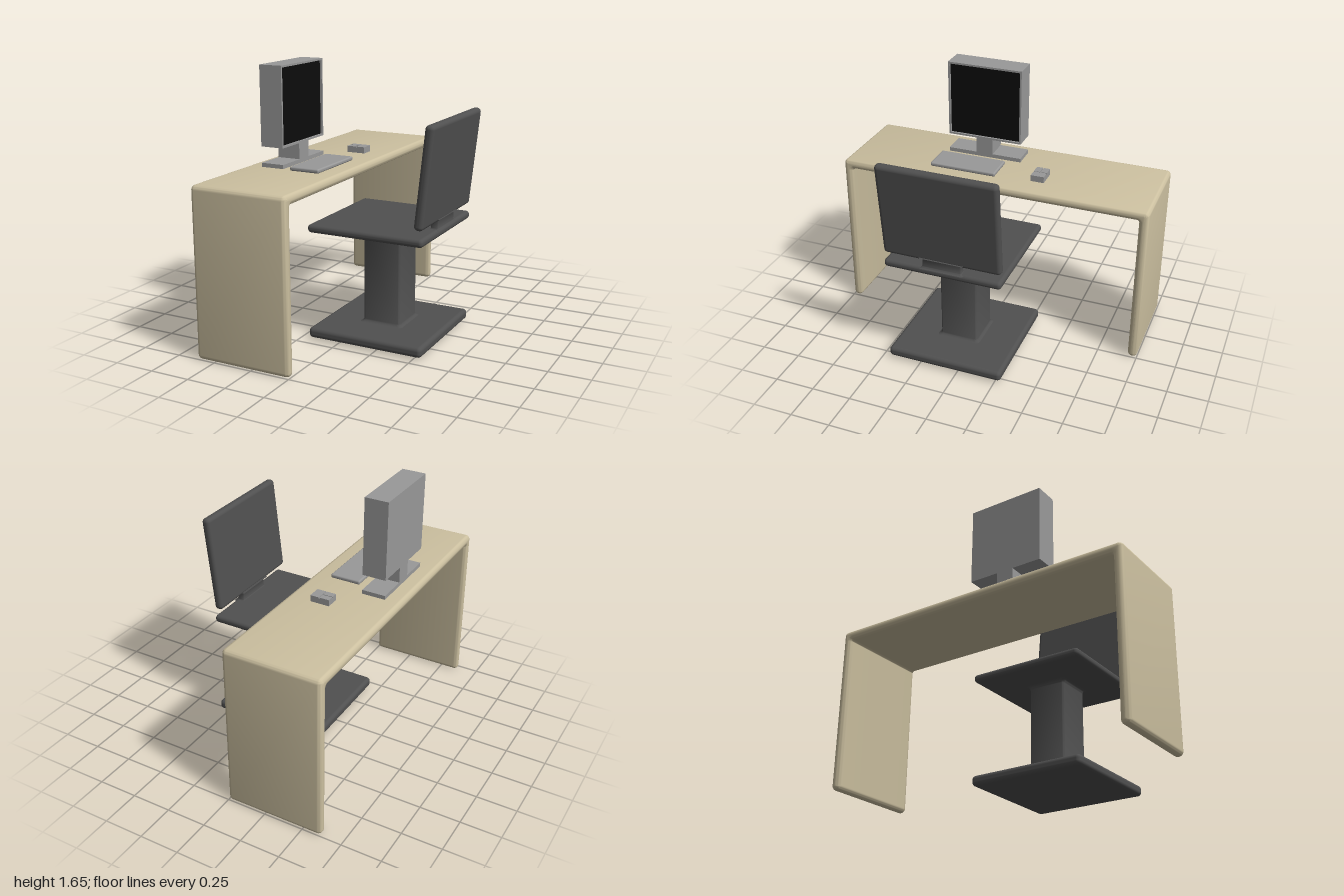
import * as THREE from 'three';
import { RoundedBoxGeometry } from 'three/addons/geometries/RoundedBoxGeometry.js';
import { toCreasedNormals } from 'three/addons/utils/BufferGeometryUtils.js';

const paint = (color) => new THREE.MeshStandardMaterial({ color });
const wood = paint(0xccc0a0);
const dark = paint(0x505050);
const grey = paint(0x999999);
const black = paint(0x0c0c0c);

function add(parent, name, geometry, material, x = 0, y = 0, z = 0) {
  const mesh = new THREE.Mesh(geometry, material);
  mesh.name = name;
  mesh.position.set(x, y, z);
  parent.add(mesh);
  return mesh;
}

function group(parent, name) {
  const g = new THREE.Group();
  g.name = name;
  parent.add(g);
  return g;
}

// Box given by its lower and upper corners, rounded if r > 0
function block(parent, name, material, [x0, y0, z0], [x1, y1, z1], r = 0) {
  const size = [x1 - x0, y1 - y0, z1 - z0];
  const geometry = r ? new RoundedBoxGeometry(...size, 4, r) : new THREE.BoxGeometry(...size);
  return add(parent, name, geometry, material, (x0 + x1) / 2, (y0 + y1) / 2, (z0 + z1) / 2);
}

// Closed outline whose corners [x, y, radius] are rounded
function roundedOutline(corners) {
  const shape = new THREE.Shape();
  const n = corners.length;
  corners.forEach(([x, y, r], i) => {
    const p = new THREE.Vector2(x, y);
    const toward = (c) => new THREE.Vector2(c[0], c[1]).sub(p).setLength(r).add(p);
    const a = toward(corners[(i + n - 1) % n]);
    const b = toward(corners[(i + 1) % n]);
    if (i === 0) shape.moveTo(a.x, a.y);
    else shape.lineTo(a.x, a.y);
    // cubic approximation of a quarter circle
    const k = 0.5523;
    const c1 = a.clone().lerp(p, k);
    const c2 = b.clone().lerp(p, k);
    shape.bezierCurveTo(c1.x, c1.y, c2.x, c2.y, b.x, b.y);
  });
  shape.closePath();
  return shape;
}

// Upright post with rounded corners that flares out in a cove at both ends
function flaredPost(w, d, h, flare) {
  const r = Math.min(w, d) * 0.2 > 0.02 ? 0.02 : Math.min(w, d) * 0.2;
  const a = w / 2, b = d / 2, n = 6;
  const shape = roundedOutline([[-a, -b, r], [a, -b, r], [a, b, r], [-a, b, r]]);
  const steps = 2 * n + 1;
  const g = new THREE.ExtrudeGeometry(shape, {
    depth: steps, steps, bevelEnabled: false, curveSegments: 5,
  });
  g.rotateX(-Math.PI / 2);
  const p = g.attributes.position;
  for (let i = 0; i < p.count; i++) {
    const level = Math.round(p.getY(i));
    const fromEnd = Math.min(level, steps - level);
    const angle = (fromEnd / n) * Math.PI / 2;
    const out = flare * (1 - Math.sin(angle));
    const rise = flare * (1 - Math.cos(angle));
    p.setXYZ(i, p.getX(i) * (1 + out / a), level <= n ? rise : h - rise, p.getZ(i) * (1 + out / b));
  }
  return toCreasedNormals(g, 0.7);
}

// One-piece desk: a U-shaped section swept across its depth, edges rounded
function buildDesk(parent) {
  const r = 0.029, t = 0.06, bevel = 0.026, depth = 0.62, h = 1.04;
  const section = roundedOutline([
    [-1, 0, r], [-1 + t, 0, r], [-1 + t, h - t, 0.012], [1 - t, h - t, 0.012],
    [1 - t, 0, r], [1, 0, r], [1, h, r], [-1, h, r],
  ]);
  const g = new THREE.ExtrudeGeometry(section, {
    depth: depth - 2 * bevel, bevelEnabled: true, bevelSize: bevel,
    bevelThickness: bevel, bevelOffset: -bevel, bevelSegments: 5, curveSegments: 7,
  });
  g.translate(0, 0, bevel);
  g.rotateY(-Math.PI / 2);
  add(parent, 'desk', toCreasedNormals(g, 0.7), wood);
}

function buildChair(parent) {
  const chair = group(parent, 'chair');
  const zMid = 0.082;
  block(chair, 'chairBase', dark, [-0.19, 0.015, -0.29], [0.555, 0.08, 0.455], 0.025);
  block(chair, 'seat', dark, [-0.19, 0.68, -0.29], [0.555, 0.73, 0.455], 0.022);
  add(chair, 'column', flaredPost(0.245, 0.245, 0.604, 0.028), dark, 0.182, 0.078, zMid);
  add(chair, 'backrestBracket', flaredPost(0.045, 0.245, 0.07, 0.018), dark, 0.523, 0.724, zMid);
  const back = add(chair, 'backrest', new RoundedBoxGeometry(0.057, 0.61, 0.745, 4, 0.025),
    dark, 0.556, 1.08, zMid);
  back.rotation.z = -0.11;
}

function buildMonitor(parent) {
  const monitor = group(parent, 'monitor');
  const x0 = -0.52, x1 = -0.37, z0 = -0.075, z1 = 0.415, y0 = 1.165, y1 = 1.655;
  const rim = 0.012, recess = 0.015;
  block(monitor, 'standFoot', grey, [x0, 1.04, z0], [x1, 1.065, z1]);
  block(monitor, 'standNeck', grey, [x0, 1.065, 0.115], [x1, y0, 0.225]);
  block(monitor, 'monitorBody', grey, [x0, y0, z0], [x1 - recess, y1, z1]);
  // Raised frame around the screen
  const rect = (path, m) => path.moveTo(-z1 + m, y0 + m).lineTo(-z0 - m, y0 + m)
    .lineTo(-z0 - m, y1 - m).lineTo(-z1 + m, y1 - m).closePath();
  const frame = new THREE.Shape();
  rect(frame, 0);
  const hole = new THREE.Path();
  rect(hole, rim);
  frame.holes.push(hole);
  const g = new THREE.ExtrudeGeometry(frame, { depth: recess, bevelEnabled: false });
  g.rotateY(Math.PI / 2);
  add(monitor, 'screenFrame', g, grey, x1 - recess);
  block(monitor, 'screen', black, [x1 - recess - 0.005, y0 + rim, z0 + rim],
    [x1 - recess + 0.002, y1 - rim, z1 - rim]);
}

function buildInputs(parent) {
  block(parent, 'keyboard', grey, [-0.31, 1.041, 0.005], [-0.115, 1.067, 0.44], 0.01);
  // Mouse: body with a palm rest and two buttons separated by narrow grooves
  const mouse = group(parent, 'mouse');
  block(mouse, 'mouseBody', grey, [-0.275, 1.04, -0.305], [-0.152, 1.072, -0.22]);
  block(mouse, 'mousePalmRest', grey, [-0.208, 1.07, -0.305], [-0.152, 1.08, -0.22]);
  block(mouse, 'mouseRightButton', grey, [-0.275, 1.07, -0.305], [-0.213, 1.08, -0.265]);
  block(mouse, 'mouseLeftButton', grey, [-0.275, 1.07, -0.26], [-0.213, 1.08, -0.22]);
}

export function createModel() {
  const model = new THREE.Group();
  model.name = 'workstation';
  buildDesk(model);
  buildChair(model);
  buildMonitor(model);
  buildInputs(model);
  return model;
}
